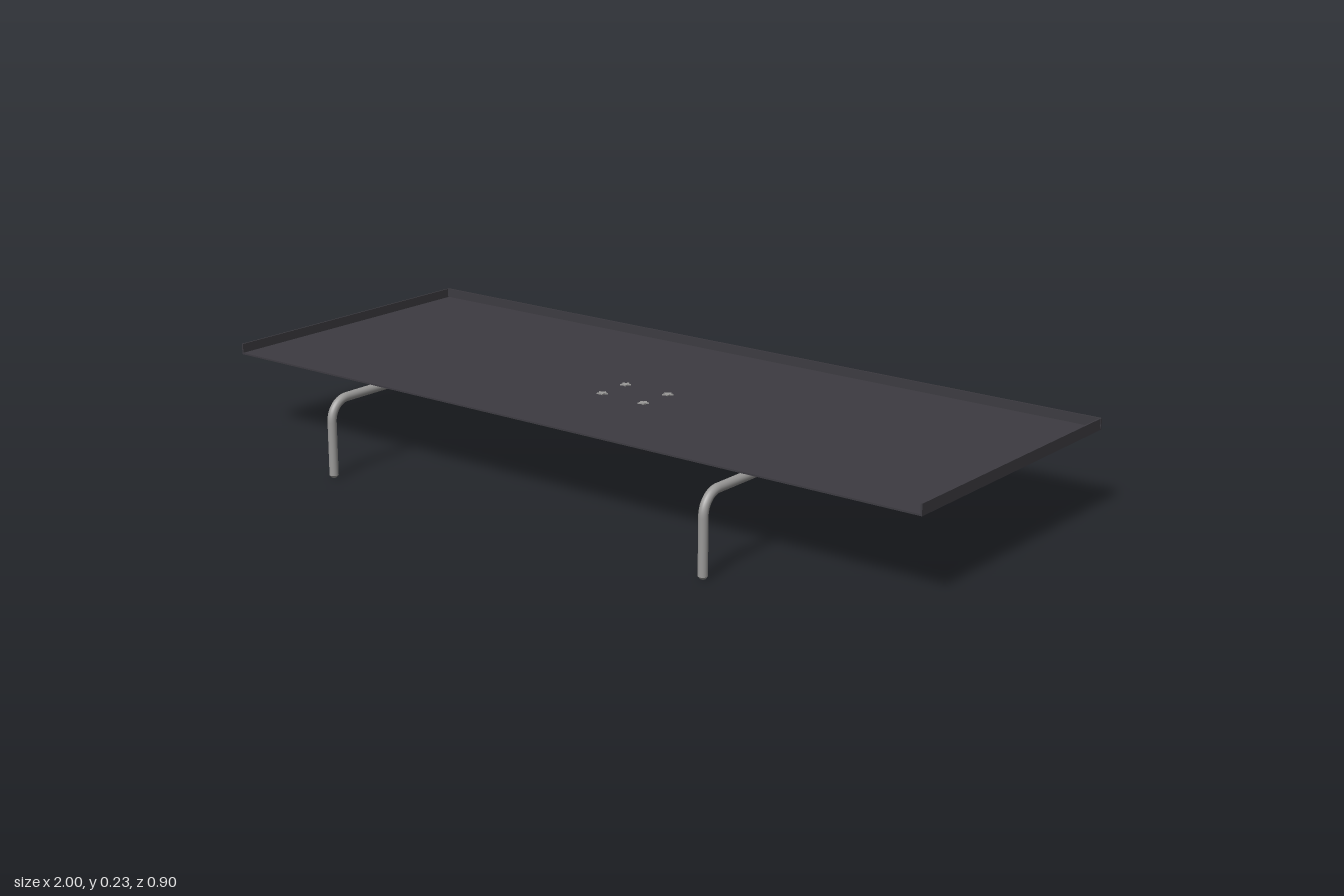
import * as THREE from 'three';

export function createModel() {
  const model = new THREE.Group();
  const darkSteel = new THREE.MeshStandardMaterial({ color: 0x3d3b41 });
  darkSteel.name = 'dark steel';
  const bareSteel = new THREE.MeshStandardMaterial({ color: 0x9a9998 });
  bareSteel.name = 'bare steel';

  const add = (name, geometry, material, x, y, z) => {
    const mesh = new THREE.Mesh(geometry, material);
    mesh.name = name;
    mesh.position.set(x, y, z);
    model.add(mesh);
    return mesh;
  };

  // Sheet tray: floor with a raised lip on the back and both sides, open in front
  const back = -0.452, front = 0.312, bottom = 0.205, top = 0.232, t = 0.004;
  const depth = front - back, midZ = (front + back) / 2;
  const lip = top - bottom, midY = (top + bottom) / 2;
  add('trayFloor', new THREE.BoxGeometry(2, t, depth), darkSteel, 0, bottom + t / 2, midZ);
  add('backLip', new THREE.BoxGeometry(2, lip, t), darkSteel, 0, midY, back + t / 2);
  for (const s of [-1, 1]) {
    add(s > 0 ? 'leftLip' : 'rightLip', new THREE.BoxGeometry(t, lip, depth - 0.007),
      darkSteel, s * (1 - t / 2), midY, midZ + 0.0035);
  }

  // Bent rod supports with chamfered ends
  const r = 0.011, chamfer = 0.006, rodY = 0.193, rodZ = 0.442, bend = 0.05;
  const path = new THREE.CurvePath();
  const v = (y, z) => new THREE.Vector3(0, y, z);
  const k = bend * 0.4477;
  path.add(new THREE.LineCurve3(v(0.004 + chamfer, rodZ), v(rodY - bend, rodZ)));
  path.add(new THREE.CubicBezierCurve3(v(rodY - bend, rodZ), v(rodY - k, rodZ),
    v(rodY, rodZ - k), v(rodY, rodZ - bend)));
  path.add(new THREE.LineCurve3(v(rodY, rodZ - bend), v(rodY, 0.1 + chamfer)));
  const rodGeometry = new THREE.TubeGeometry(path, 80, r, 20);
  const tipGeometry = new THREE.CylinderGeometry(r, r * 0.55, chamfer, 20);
  for (const s of [-1, 1]) {
    const side = s > 0 ? 'left' : 'right', x = s * 0.55;
    add(side + 'Rod', rodGeometry, bareSteel, x, 0, 0);
    add(side + 'RodFoot', tipGeometry, bareSteel, x, 0.004 + chamfer / 2, rodZ);
    add(side + 'RodEnd', tipGeometry, bareSteel, x, rodY, 0.1 + chamfer / 2).rotation.x = Math.PI / 2;
  }

  // Four small star-shaped studs on the tray floor
  const star = new THREE.Shape();
  for (let i = 0; i < 10; i++) {
    const a = i * Math.PI / 5 + Math.PI / 2, q = i % 2 ? 0.008 : 0.014;
    star[i ? 'lineTo' : 'moveTo'](q * Math.cos(a), q * Math.sin(a));
  }
  star.closePath();
  const starGeometry = new THREE.ExtrudeGeometry(star, { depth: 0.003, bevelEnabled: false });
  starGeometry.rotateX(-Math.PI / 2);
  for (const [x, z] of [[-0.058, -0.058], [0.073, -0.054], [-0.054, 0.035], [0.073, 0.039]]) {
    add('stud', starGeometry, bareSteel, x, bottom + t, z);
  }

  return model;
}
